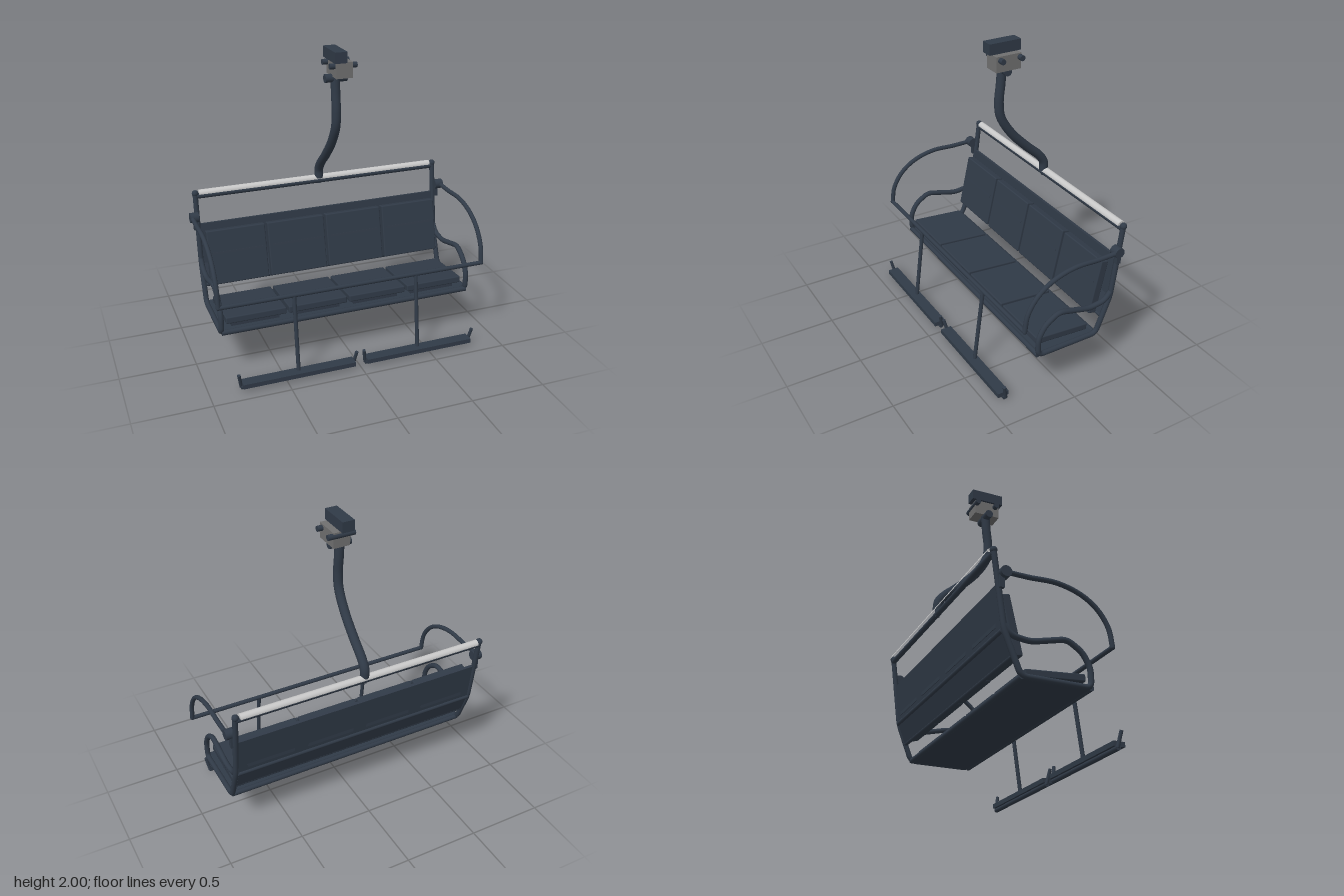
import * as THREE from 'three';
import { RoundedBoxGeometry } from 'three/addons/geometries/RoundedBoxGeometry.js';

const V = (x, y, z) => new THREE.Vector3(x, y, z);

// Polyline with rounded corners, swept later as a bent tube
function bentPath(pts, radius) {
  const path = new THREE.CurvePath();
  let from = pts[0];
  for (let i = 1; i < pts.length - 1; i++) {
    const p = pts[i];
    const toward = (q) => {
      const d = q.clone().sub(p);
      return p.clone().add(d.clone().setLength(Math.min(radius, d.length() * 0.48)));
    };
    const a = toward(pts[i - 1]), b = toward(pts[i + 1]);
    path.add(new THREE.LineCurve3(from, a));
    path.add(new THREE.QuadraticBezierCurve3(a, p, b));
    from = b;
  }
  path.add(new THREE.LineCurve3(from, pts[pts.length - 1]));
  return path;
}

export function createModel() {
  const group = new THREE.Group();
  const steel = new THREE.MeshStandardMaterial({ color: 0x303a47 });
  steel.name = 'dark slate';
  const gripGrey = new THREE.MeshStandardMaterial({ color: 0x707070 });
  gripGrey.name = 'grip grey';
  const paleGrey = new THREE.MeshStandardMaterial({ color: 0xc8c8c8 });
  paleGrey.name = 'pale grey';

  const add = (name, geo, mat = steel) => {
    const m = new THREE.Mesh(geo, mat);
    m.name = name;
    group.add(m);
    return m;
  };
  // Capped straight bar between two points
  const rod = (name, a, b, r, mat) => {
    const d = b.clone().sub(a);
    const m = add(name, new THREE.CylinderGeometry(r, r, d.length(), 14), mat);
    m.position.copy(a).add(b).multiplyScalar(0.5);
    m.quaternion.setFromUnitVectors(V(0, 1, 0), d.normalize());
    return m;
  };
  const bar = (name, y, z, halfWidth, r) => rod(name, V(-halfWidth, y, z), V(halfWidth, y, z), r);
  const tube = (name, curve, r, segs = 64) => add(name, new THREE.TubeGeometry(curve, segs, r, 12));
  const ball = (name, p, r) => add(name, new THREE.SphereGeometry(r, 14, 10)).position.copy(p);
  const box = (name, x0, x1, y0, y1, z0, z1, mat) =>
    add(name, new THREE.BoxGeometry(x1 - x0, y1 - y0, z1 - z0), mat)
      .position.set((x0 + x1) / 2, (y0 + y1) / 2, (z0 + z1) / 2);
  // Slab whose long direction runs from [z, y] a to b; rounded when bevel > 0
  const slab = (name, x, width, a, b, thick, bevel = 0) => {
    const dz = b[0] - a[0], dy = b[1] - a[1], len = Math.hypot(dz, dy);
    const m = add(name, bevel ? new RoundedBoxGeometry(width, len, thick, 2, bevel)
      : new THREE.BoxGeometry(width, len, thick));
    m.position.set(x, (a[1] + b[1]) / 2, (a[0] + b[0]) / 2);
    m.rotation.x = Math.atan2(dz, dy);
    return m;
  };

  // Cable grip
  box('gripJaw', -0.04, 0.04, 1.93, 2, -0.18, 0.04);
  box('gripBody', -0.025, 0.085, 1.83, 1.93, -0.155, 0.02, gripGrey);
  for (const z of [-0.145, -0.01]) rod('gripBolt', V(-0.06, 1.905, z), V(0.12, 1.905, z), 0.018);
  rod('hangerPin', V(-0.07, 1.817, -0.07), V(0.075, 1.817, -0.07), 0.027);

  // Curved hanger arm
  const hanger = [[1.83, -0.07], [1.72, -0.062], [1.6, -0.05], [1.5, -0.062], [1.37, -0.14],
    [1.245, -0.26], [1.155, -0.36], [1.1, -0.397], [1.04, -0.4]].map(([y, z]) => V(0, y, z));
  tube('hangerArm', new THREE.CatmullRomCurve3(hanger), 0.03);

  // Top rail with pale half-round cover
  bar('topRail', 1.018, -0.4, 0.86, 0.018);
  const cover = add('railCover', new THREE.CylinderGeometry(0.026, 0.026, 1.67, 16, 1, false, 0, Math.PI), paleGrey);
  cover.rotation.z = Math.PI / 2;
  cover.position.set(0, 1.033, -0.404);
  rod('hangerFoot', V(0, 1.0, -0.4), V(0, 1.075, -0.4), 0.014);

  for (const s of [-1, 1]) {
    // Side frame running down, forward under the seat and back up as armrest
    const side = [[1.04, -0.4], [0.56, -0.337], [0.31, -0.24], [0.31, 0.188], [0.43, 0.188],
      [0.515, 0.14], [0.575, 0.045], [0.52, -0.18], [0.535, -0.295], [0.59, -0.34]];
    tube('sideFrame', bentPath(side.map(([y, z]) => V(s * 0.86, y, z)), 0.04), 0.0175, 140);
    ball('frameCorner', V(s * 0.86, 1.038, -0.4), 0.022);

    // Restraint bar pivot and curved side arm
    rod('restraintPivot', V(s * 0.858, 0.892, -0.345), V(s * 0.915, 0.892, -0.345), 0.034);
    box('pivotBracket', s * 0.878 - 0.012, s * 0.878 + 0.012, 0.8, 0.89, -0.375, -0.345);
    const arm = [[0.892, -0.345], [0.889, -0.2], [0.893, -0.04], [0.868, 0.08], [0.825, 0.17],
      [0.76, 0.243], [0.67, 0.295], [0.56, 0.314]].map(([y, z]) => V(s * 0.9, y, z));
    tube('restraintArm', new THREE.CatmullRomCurve3(arm), 0.015);
    ball('restraintCorner', V(s * 0.9, 0.56, 0.314), 0.015);

    // Footrest with stem and upturned ends
    rod('footrestStem', V(s * 0.417, 0.56, 0.314), V(s * 0.417, 0.02, 0.382), 0.013);
    box('footrestPlate', s * 0.417 - 0.375, s * 0.417 + 0.375, 0.025, 0.055, 0.352, 0.427);
    rod('footrestTube', V(s * 0.04, 0.016, 0.38), V(s * 0.797, 0.016, 0.38), 0.016);
    rod('footrestTip', V(s * 0.795, 0.015, 0.375), V(s * 0.812, 0.112, 0.395), 0.011);
    rod('footrestTip', V(s * 0.042, 0.015, 0.375), V(s * 0.025, 0.112, 0.395), 0.011);
  }
  bar('restraintBar', 0.56, 0.314, 0.9, 0.014);

  // Seat pan, its rails and the bent back panel
  box('seatPan', -0.86, 0.86, 0.298, 0.32, -0.235, 0.188);
  bar('frontRail', 0.31, 0.188, 0.86, 0.0175);
  bar('rearRail', 0.31, -0.235, 0.86, 0.0165);
  slab('upperBackPanel', 0, 1.69, [-0.337, 0.56], [-0.37, 0.832], 0.02);
  slab('lowerBackPanel', 0, 1.69, [-0.283, 0.42], [-0.337, 0.56], 0.02);
  bar('backRail', 0.56, -0.343, 0.85, 0.015);
  bar('lowerBackRail', 0.422, -0.283, 0.85, 0.013);

  // Four seats
  for (let i = 0; i < 4; i++) {
    const x = (i - 1.5) * 0.417;
    slab('seatCushion', x, 0.4, [-0.198, 0.352], [0.177, 0.382], 0.045, 0.008);
    slab('backCushion', x, 0.4, [-0.233, 0.44], [-0.311, 0.8], 0.054, 0.008);
    slab('backSeam', x, 0.35, [-0.253, 0.649], [-0.256, 0.661], 0.012);
    box('cushionMount', x - 0.16, x + 0.16, 0.315, 0.35, -0.17, 0.14);
    box('backMount', x - 0.16, x + 0.16, 0.6, 0.72, -0.355, -0.29);
  }
  return group;
}
